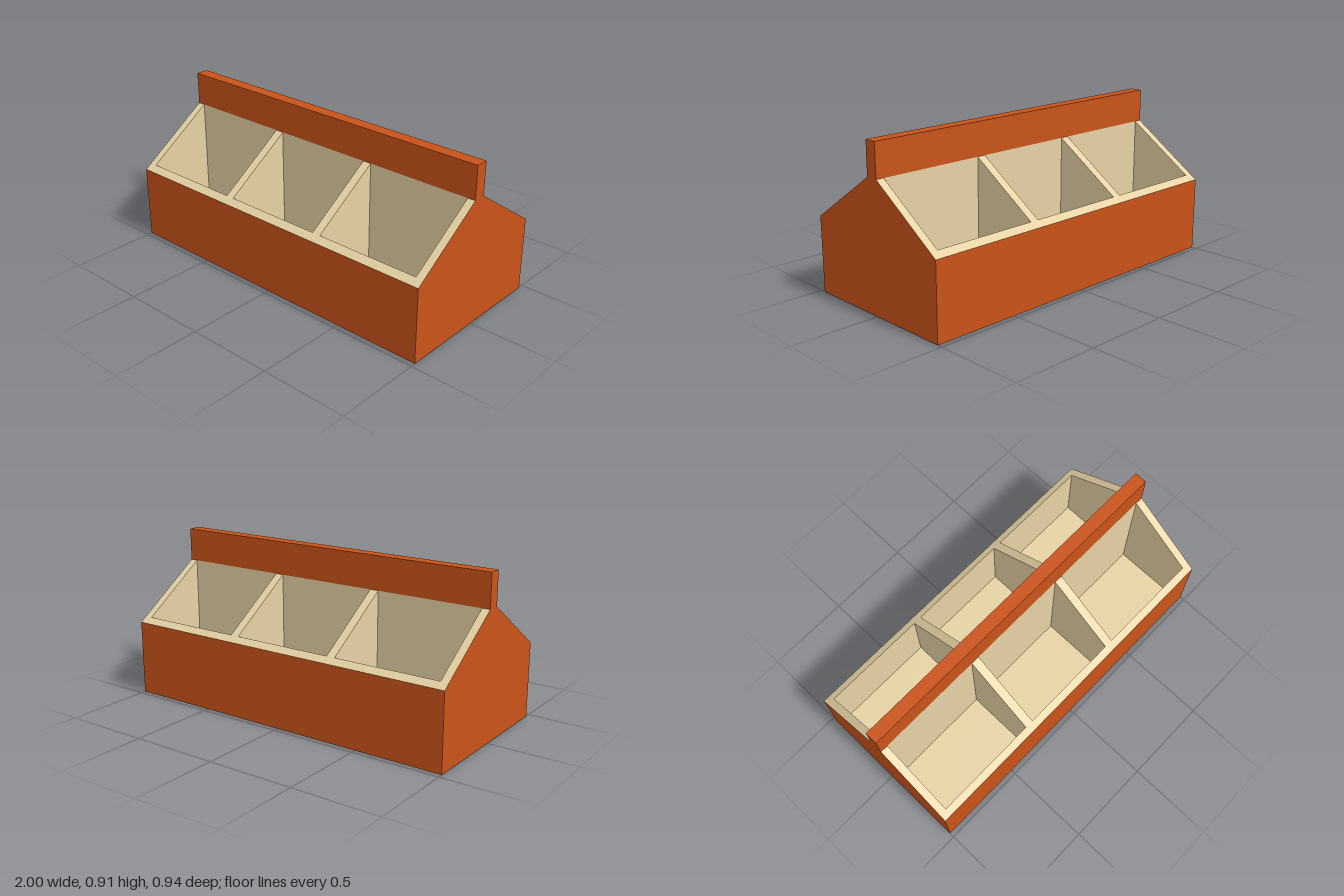
import * as THREE from 'three';

export function createModel() {
  const model = new THREE.Group();
  model.name = 'produceBin';

  const orange = new THREE.MeshStandardMaterial({ color: 0xca5319 });
  orange.name = 'orange';
  const cream = new THREE.MeshStandardMaterial({ color: 0xe6d2a4 });
  cream.name = 'cream';

  // Flat convex panel through the given corners, facing the outward direction
  const panel = (name, corners, outward, material) => {
    const pts = corners.map((c) => new THREE.Vector3(...c));
    const normal = pts[1].clone().sub(pts[0]).cross(pts[2].clone().sub(pts[0]));
    if (normal.dot(new THREE.Vector3(...outward)) < 0) pts.reverse();
    const triangles = [];
    for (let i = 1; i < pts.length - 1; i++) triangles.push(pts[0], pts[i], pts[i + 1]);
    const g = new THREE.BufferGeometry().setFromPoints(triangles);
    g.computeVertexNormals();
    const mesh = new THREE.Mesh(g, material);
    mesh.name = name;
    model.add(mesh);
  };
  // Rectangle spanning x0..x1 between two [y, z] lines
  const strip = (name, x0, x1, [ya, za], [yb, zb], outward, material) =>
    panel(name, [[x0, ya, za], [x1, ya, za], [x1, yb, zb], [x0, yb, zb]], outward, material);

  const W = 1, D = 0.472, inner = 0.432, ridge = 0.036;
  const top = 0.72, eave = 0.425, floor = 0.04;
  const innerY = eave + ((D - inner) / (D - ridge)) * (top - eave);
  const bays = [[-0.955, -0.345], [-0.295, 0.295], [0.345, 0.955]];
  const rims = [[-W, -0.955], [-0.345, -0.295], [0.295, 0.345], [0.955, W]];

  // Gable ends
  for (const [side, s] of [['left', 1], ['right', -1]]) {
    const profile = [[0, -D], [0, D], [eave, D], [top, ridge], [top, -ridge], [eave, -D]];
    panel(side + 'End', profile.map(([y, z]) => [s * W, y, z]), [s, 0, 0], orange);
  }

  for (const [side, s] of [['front', 1], ['back', -1]]) {
    // Long outer panel and the sloped rims
    strip(side + 'Panel', -W, W, [0, s * D], [eave, s * D], [0, 0, s], orange);
    strip(side + 'LowRim', -W, W, [eave, s * D], [innerY, s * inner], [0, 1, s], cream);
    for (const [x0, x1] of rims) {
      strip(side + 'SlopedRim', x0, x1, [innerY, s * inner], [top, s * ridge], [0, 1, s], cream);
    }
    // Inside of each bay
    for (const [x0, x1] of bays) {
      strip(side + 'BayFloor', x0, x1, [floor, s * inner], [floor, s * ridge], [0, 1, 0], cream);
      strip(side + 'BayOuterWall', x0, x1, [floor, s * inner], [innerY, s * inner], [0, 0, -s], cream);
      strip(side + 'BayCentreWall', x0, x1, [floor, s * ridge], [top, s * ridge], [0, 0, s], cream);
      const cut = [[floor, inner], [floor, ridge], [top, ridge], [innerY, inner]];
      for (const [x, facing] of [[x0, 1], [x1, -1]]) {
        panel(side + 'BaySide', cut.map(([y, z]) => [x, y, s * z]), [facing, 0, 0], cream);
      }
    }
  }

  strip('underside', -W, W, [0, -D], [0, D], [0, -1, 0], orange);

  // Header board along the ridge
  const board = new THREE.Mesh(new THREE.BoxGeometry(2 * W, 0.908 - top, 2 * ridge), orange);
  board.position.y = (0.908 + top) / 2;
  board.name = 'headerBoard';
  model.add(board);

  return model;
}
